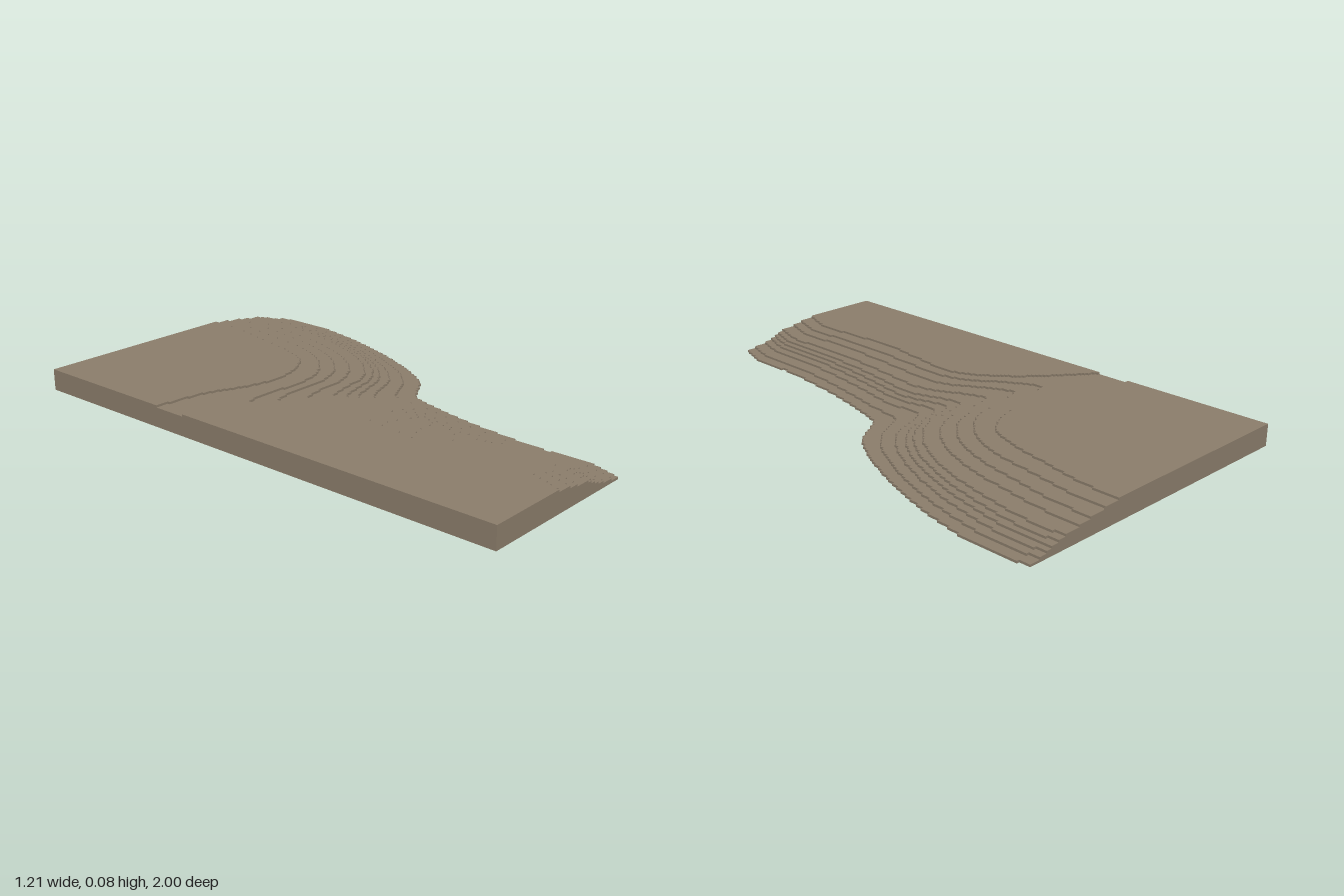
import * as THREE from 'three';

const LAYER = 0.008; // thickness of one terrace
const CELL = 0.01; // contours follow a fine square grid
const LEFT = -0.61;

// Contour lines as [x, z], running from the back edge to the front edge
const baseLine = [
  [0.59, -1], [0.605, -0.85], [0.59, -0.7], [0.55, -0.52], [0.485, -0.32], [0.41, -0.15],
  [0.35, -0.05], [0.3, 0], [0.22, 0.05], [0.185, 0.085], [0.165, 0.14], [0.15, 0.2],
  [0.12, 0.34], [0.095, 0.5], [0.075, 0.7], [0.08, 0.86], [0.04, 1],
];
const upperLine = [
  [0.265, -1], [0.255, -0.85], [0.23, -0.7], [0.2, -0.52], [0.14, -0.37], [0.04, -0.27],
  [-0.1, -0.23], [-0.24, -0.24], [-0.36, -0.22], [-0.31, -0.1], [-0.22, 0.03], [-0.19, 0.15],
  [-0.2, 0.32], [-0.21, 0.5], [-0.21, 0.7], [-0.2, 0.86], [-0.24, 1],
];
const backPlateauLine = [
  [0.2, -1], [0.19, -0.85], [0.16, -0.7], [0.13, -0.55], [0.08, -0.41], [-0.01, -0.34],
  [-0.13, -0.31], [-0.25, -0.33], [-0.4, -0.39], [-0.52, -0.41], [LEFT, -0.42],
];
const frontPlateauLine = [
  [LEFT, -0.29], [-0.5, -0.21], [-0.36, -0.09], [-0.26, 0.04], [-0.23, 0.15], [-0.25, 0.32],
  [-0.27, 0.49], [-0.26, 0.7], [-0.25, 0.86], [-0.3, 1],
];

// How far each terrace lies from the upper line (0) to the base line (1)
const spreadBack = [1, 0.88, 0.79, 0.71, 0.64, 0.55, 0.34, 0.19, 0];
const spreadFront = [1, 0.86, 0.68, 0.57, 0.5, 0.43, 0.34, 0.14, 0];

// Smooth a contour, then snap it to the grid with square corners
function gridContour(line) {
  const curve = new THREE.SplineCurve(line.map(([x, z]) => new THREE.Vector2(x, z)));
  const snap = (v, lo, hi) => Math.round(THREE.MathUtils.clamp(v, lo, hi) / CELL) * CELL;
  const out = [];
  for (const p of curve.getPoints(500)) {
    const x = snap(p.x, LEFT, 0.61);
    const z = snap(p.y, -1, 1);
    const last = out[out.length - 1];
    if (last) {
      const movedX = Math.abs(last[0] - x) > 1e-6;
      const movedZ = Math.abs(last[1] - z) > 1e-6;
      if (!movedX && !movedZ) continue;
      if (movedX && movedZ) out.push([x, last[1]]);
    }
    out.push([x, z]);
  }
  return out;
}

// Flat slab bounded by a contour and the straight outer corners
function terrace(name, line, corners, level, material) {
  const outline = [...gridContour(line), ...corners].map(([x, z]) => new THREE.Vector2(x, -z));
  const geometry = new THREE.ExtrudeGeometry(new THREE.Shape(outline), {
    depth: LAYER, bevelEnabled: false,
  });
  geometry.rotateX(-Math.PI / 2);
  geometry.translate(0, level * LAYER, 0);
  const mesh = new THREE.Mesh(geometry, material);
  mesh.name = name;
  return mesh;
}

export function createModel() {
  const model = new THREE.Group();
  model.name = 'terracedTerrain';
  const earth = new THREE.MeshStandardMaterial({ color: 0x8b7d6b });
  earth.name = 'earthBrown';

  // Nine full-length terraces, blended between the two contour lines
  for (let i = 0; i < 9; i++) {
    const line = baseLine.map(([bx, bz], k) => {
      const [ux, uz] = upperLine[k];
      const t = THREE.MathUtils.lerp(spreadBack[i], spreadFront[i], k / (baseLine.length - 1));
      return [THREE.MathUtils.lerp(ux, bx, t), THREE.MathUtils.lerp(uz, bz, t)];
    });
    model.add(terrace(`terrace${i + 1}`, line, [[LEFT, 1], [LEFT, -1]], i, earth));
  }

  // Two top plateaus with a shallow saddle between them
  model.add(terrace('backPlateau', backPlateauLine, [[LEFT, -1]], 9, earth));
  model.add(terrace('frontPlateau', frontPlateauLine, [[LEFT, 1]], 9, earth));
  return model;
}
